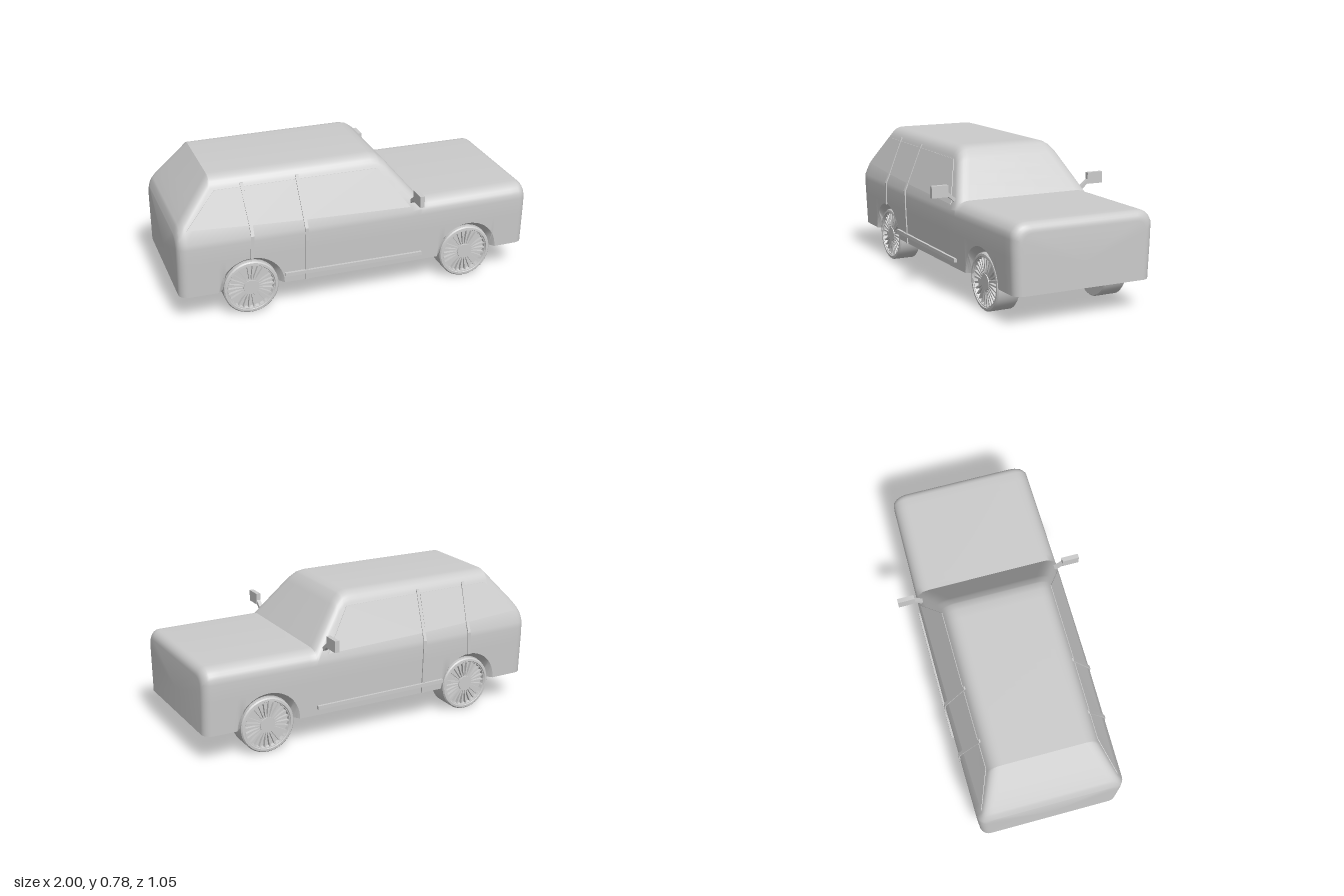
import * as THREE from 'three';
import { toCreasedNormals } from 'three/addons/utils/BufferGeometryUtils.js';

const FLOOR = 0.16, BELT = 0.47, ARCH = 0.18, LINER = 0.15;
const AXLES = [-0.61, 0.64];
const material = new THREE.MeshStandardMaterial({ color: 0xcccccc });

// Piecewise linear lookup in a list of [key, value] pairs
function lookup(table, k) {
  for (let i = 1; i < table.length; i++) {
    const [a, va] = table[i - 1], [b, vb] = table[i];
    if (k <= b) return va + (vb - va) * Math.max(0, (k - a) / (b - a));
  }
  return table[table.length - 1][1];
}

// Roof line along the car, half width up the side, and rounded end corners
const ROOF = [[-1, 0.5], [-0.985, 0.545], [-0.95, 0.59], [-0.79, 0.777], [0.1, 0.777],
  [0.14, 0.768], [0.18, 0.738], [0.36, 0.522], [1, 0.522]];
const SIDE = [[0.16, 0.402], [0.4, 0.413], [BELT, 0.412], [0.8, 0.268]];

function cornerInset(x) {
  const d = Math.min(1, Math.max(0, Math.abs(x) - 0.95) / 0.05);
  return 0.05 * (1 - Math.sqrt(1 - d * d));
}
const roofY = (x) => lookup(ROOF, x) - (x > 0 ? cornerInset(x) : 0);
const halfWidth = (x, y) =>
  lookup(SIDE, y) * (1 - 0.03 * Math.max(0, Math.abs(x) - 0.3)) - cornerInset(x);

function mesh(name, geometry) {
  const m = new THREE.Mesh(geometry, material);
  m.name = name;
  return m;
}

// Half cross-section [z, y] from the underside, past the wheel arch, to the roof
function halfSection(x) {
  const dx = Math.min(...AXLES.map((a) => Math.abs(x - a)));
  const arc = (r) => FLOOR + Math.sqrt(Math.max(0, r * r - dx * dx));
  const bottom = arc(ARCH);
  const t = Math.min(1, Math.max(0, (ARCH - dx) / (ARCH - LINER)));
  const zIn = THREE.MathUtils.lerp(halfWidth(x, FLOOR), 0.36, t);
  const top = roofY(x), shoulder = top - Math.min(0.055, top - 0.42);
  const pts = [[zIn, FLOOR], [zIn, arc(LINER)], [halfWidth(x, bottom), bottom]];
  for (const k of [0.35, 0.4, 0.44, BELT, 0.55, 0.64]) {
    const y = Math.min(k, shoulder);
    pts.push([halfWidth(x, y), y]);
  }
  const a = [halfWidth(x, shoulder), shoulder], b = [halfWidth(x, top), top];
  const c = [b[0] - 0.06, top];
  for (let i = 0; i <= 6; i++) {
    const s = i / 6, u = 1 - s;
    pts.push([0, 1].map((n) => u * u * a[n] + 2 * u * s * b[n] + s * s * c[n]));
  }
  return pts;
}

// Body shell lofted through the cross-sections
function bodyGeometry() {
  const keys = ROOF.map((p) => p[0]);
  for (let i = 0; i <= 6; i++) {
    const e = 0.95 + 0.05 * Math.sin((i / 6) * Math.PI / 2);
    keys.push(e, -e);
  }
  for (const a of AXLES)
    for (let i = 0; i <= 24; i++) keys.push(a - ARCH * Math.cos((i / 24) * Math.PI));
  for (let i = -19; i < 20; i++) keys.push(i * 0.05);
  const xs = keys.sort((p, q) => p - q).filter((x, i, all) => i === 0 || x - all[i - 1] > 1e-4);

  const rings = xs.map((x) => {
    const half = halfSection(x).map(([z, y]) => new THREE.Vector3(x, y, z));
    const other = half.map((p) => new THREE.Vector3(p.x, p.y, -p.z)).reverse();
    return [...half, ...other];
  });
  const out = [], e1 = new THREE.Vector3(), e2 = new THREE.Vector3();
  const tri = (a, b, c) => {
    e1.subVectors(b, a).cross(e2.subVectors(c, a));
    if (e1.length() > 1e-9) for (const p of [a, b, c]) out.push(p.x, p.y, p.z);
  };
  const n = rings[0].length;
  for (let i = 0; i < rings.length - 1; i++) {
    for (let j = 0; j < n; j++) {
      const k = (j + 1) % n;
      const a = rings[i][j], b = rings[i + 1][j], c = rings[i + 1][k], d = rings[i][k];
      tri(a, b, c);
      tri(a, c, d);
    }
  }
  // Flat tail and nose
  const tail = rings[0], nose = rings[rings.length - 1];
  const tailMid = new THREE.Vector3(-1, 0.3, 0), noseMid = new THREE.Vector3(1, 0.3, 0);
  for (let j = 0; j < n; j++) {
    const k = (j + 1) % n;
    tri(tailMid, tail[j], tail[k]);
    tri(noseMid, nose[k], nose[j]);
  }
  const g = new THREE.BufferGeometry();
  g.setAttribute('position', new THREE.Float32BufferAttribute(out, 3));
  return toCreasedNormals(g, 0.6);
}

// Thin slab with an x,y outline, bent to lie on the body side
function sidePiece(name, outline, proud) {
  const shape = new THREE.Shape(outline.map(([x, y]) => new THREE.Vector2(x, y)));
  const g = new THREE.ExtrudeGeometry(shape, { depth: proud + 0.006, bevelEnabled: false });
  const p = g.attributes.position;
  for (let i = 0; i < p.count; i++)
    p.setZ(i, p.getZ(i) - 0.006 + halfWidth(p.getX(i), p.getY(i)));
  g.computeVertexNormals();
  return mesh(name, g);
}

// Door pillar trim following a centre line of [x, y] points from top to bottom
function pillar(name, line) {
  const g = new THREE.Group();
  g.name = name;
  const w = 0.009;
  for (let i = 1; i < line.length; i++) {
    const [x1, y1] = line[i - 1], [x2, y2] = line[i];
    g.add(sidePiece(name + 'Strip',
      [[x2 - w, y2], [x2 + w, y2], [x1 + w, y1], [x1 - w, y1]], 0.007));
  }
  return g;
}

// Windows, trim, sill and mirror of one side
function sideDetails() {
  const g = new THREE.Group();
  g.add(
    sidePiece('rearWindow', [[-0.94, 0.54], [-0.615, 0.524], [-0.63, 0.713], [-0.77, 0.713]], 0.003),
    sidePiece('middleWindow', [[-0.595, 0.523], [-0.32, 0.513], [-0.335, 0.713], [-0.612, 0.713]], 0.003),
    sidePiece('frontWindow', [[-0.3, 0.512], [0.29, 0.495], [0.13, 0.71], [-0.315, 0.713]], 0.003),
    pillar('rearPillar', [[-0.624, 0.733], [-0.603, BELT + 0.05], [-0.602, BELT], [-0.608, 0.34]]),
    pillar('middlePillar', [[-0.323, 0.733], [-0.309, BELT + 0.05], [-0.307, BELT], [-0.305, 0.4], [-0.305, FLOOR]]),
  );
  const sill = mesh('sillTrim', new THREE.BoxGeometry(0.79, 0.02, 0.024));
  sill.position.set(-0.035, 0.209, 0.407);
  sill.rotation.z = -0.008;

  const mirror = new THREE.Group();
  mirror.name = 'wingMirror';
  const head = mesh('mirrorHead', new THREE.BoxGeometry(0.025, 0.064, 0.095));
  head.position.set(0.305, 0.574, 0.4775);
  const stalk = mesh('mirrorStalk', new THREE.BoxGeometry(0.022, 0.018, 0.075));
  stalk.position.set(0.305, 0.54, 0.411);
  stalk.rotation.x = -0.7;
  mirror.add(head, stalk);
  g.add(sill, mirror);
  return g;
}

// Wheel with its outer face towards +z
function wheel() {
  const g = new THREE.Group();
  g.name = 'wheel';
  const profile = [[0, -0.065], [0.146, -0.065], [0.152, -0.059], [0.152, 0.057], [0.146, 0.064],
    [0.134, 0.065], [0.131, 0.06], [0.127, 0.06], [0.123, 0.038], [0, 0.038]];
  const tyre = new THREE.LatheGeometry(profile.map(([r, y]) => new THREE.Vector2(r, y)), 48);
  tyre.rotateX(Math.PI / 2);
  g.add(mesh('tyre', toCreasedNormals(tyre, 0.5)));
  const hub = mesh('hub', new THREE.CylinderGeometry(0.042, 0.045, 0.025, 32).rotateX(Math.PI / 2));
  hub.position.z = 0.048;
  g.add(hub);
  const spoke = new THREE.BoxGeometry(0.088, 0.009, 0.02).translate(0.083, 0, 0.046);
  for (let i = 0; i < 26; i++) {
    const s = mesh('spoke', spoke);
    s.rotation.z = (i / 26) * Math.PI * 2;
    g.add(s);
  }
  return g;
}

export function createModel() {
  const car = new THREE.Group();
  car.name = 'estateCar';
  car.add(mesh('body', bodyGeometry()));
  for (const side of [1, -1]) {
    const details = sideDetails();
    details.name = side > 0 ? 'frontSideDetails' : 'backSideDetails';
    details.scale.z = side;
    car.add(details);
    for (const x of AXLES) {
      const w = wheel();
      w.position.set(x, 0.152, side * 0.32);
      if (side < 0) w.rotation.y = Math.PI;
      car.add(w);
    }
  }
  return car;
}
